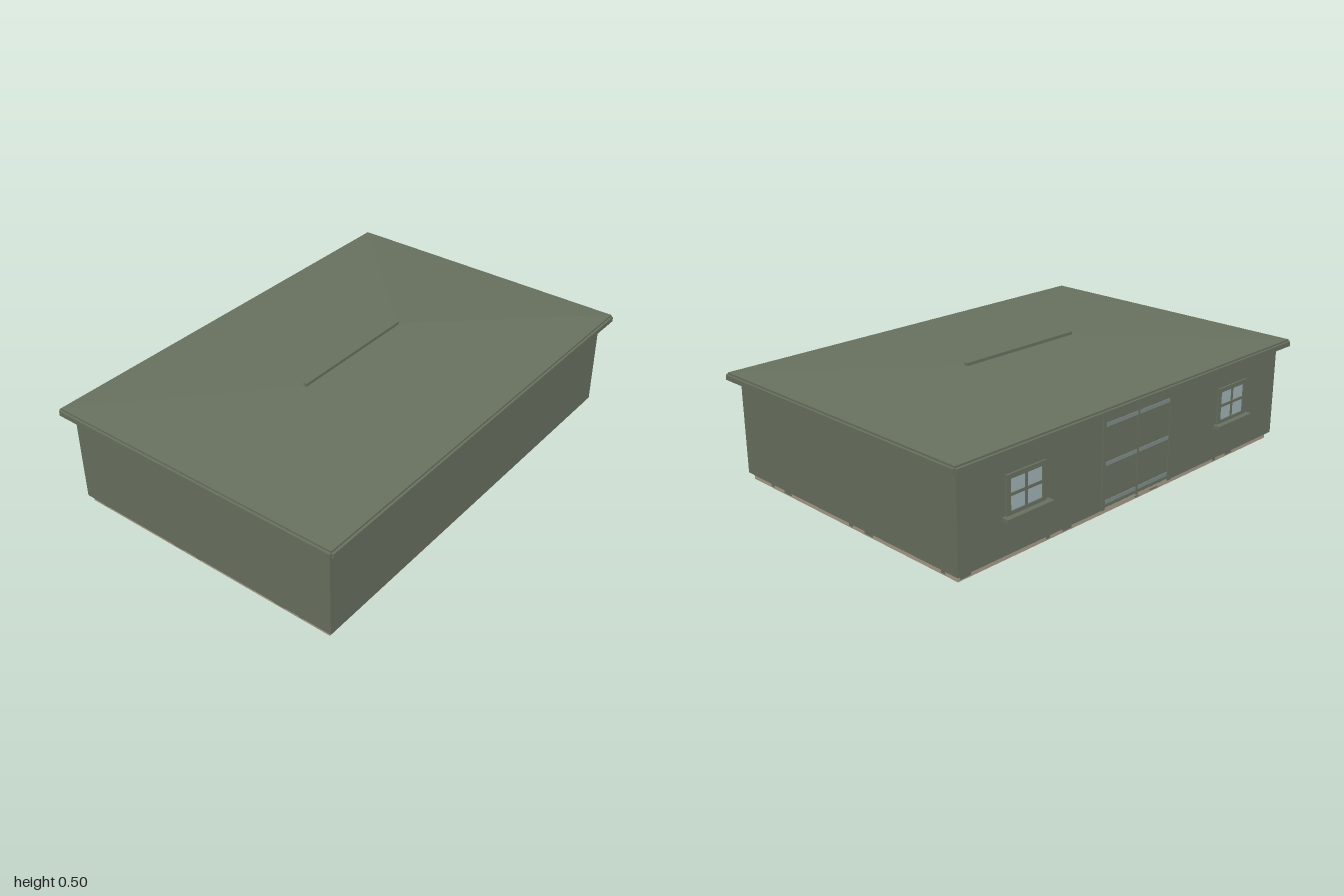
import * as THREE from 'three';

const mat = (name, color, extra = {}) => {
  const m = new THREE.MeshStandardMaterial({ color, ...extra });
  m.name = name;
  return m;
};

export function createModel() {
  const green = mat('olive green', 0x68715f);
  const stone = mat('foundation stone', 0xa69b89);
  const glass = mat('window glass', 0xa0b2b6);
  const steel = mat('door rail grey', 0x7f8c8a);
  const house = new THREE.Group();
  house.name = 'building';

  // box given by its min and max corners
  const box = (name, m, x0, x1, y0, y1, z0, z1, parent = house) => {
    const mesh = new THREE.Mesh(new THREE.BoxGeometry(x1 - x0, y1 - y0, z1 - z0), m);
    mesh.position.set((x0 + x1) / 2, (y0 + y1) / 2, (z0 + z1) / 2);
    mesh.name = name;
    parent.add(mesh);
    return mesh;
  };

  // foundation and walls
  box('foundation', stone, -0.94, 0.94, 0, 0.03, -0.625, 0.625);
  box('walls', green, -0.955, 0.955, 0.028, 0.45, -0.642, 0.642);

  // mossy patches round the foundation
  const patches = [[-0.68, -0.63], [-0.56, -0.54], [-0.16, -0.11], [-0.04, -0.015], [0.36, 0.41], [0.48, 0.5], [0.88, 0.93]];
  for (const s of [-1, 1]) {
    const span = (d) => [s * d, s * (d + 0.001)].sort((a, b) => a - b);
    for (const [a, b] of patches) {
      box('foundationPatch', green, a, b, 0.006, 0.028, ...span(0.625));
      if (Math.abs(a) < 0.6) box('foundationPatch', green, ...span(0.94), 0.006, 0.028, a, b);
    }
  }

  // roof slab with fascia boards on the four sides
  box('roofSlab', green, -0.99, 0.99, 0.445, 0.466, -0.678, 0.678);
  for (const s of [-1, 1]) {
    const zs = [s * 0.676, s * 0.688].sort((a, b) => a - b);
    const xs = [s * 0.988, s * 1].sort((a, b) => a - b);
    box('longFascia', green, -0.99, 0.99, 0.437, 0.458, ...zs);
    box('endFascia', green, ...xs, 0.437, 0.458, -0.678, 0.678);
  }

  // low hipped roof: eave corners rising to a short ridge
  const A = [-0.99, 0.466, 0.678], B = [0.99, 0.466, 0.678];
  const C = [0.99, 0.466, -0.678], D = [-0.99, 0.466, -0.678];
  const L = [-0.31, 0.492, 0], R = [0.31, 0.492, 0];
  const tris = [A, B, R, A, R, L, B, C, R, C, D, L, C, L, R, D, A, L];
  const roofGeo = new THREE.BufferGeometry();
  roofGeo.setAttribute('position', new THREE.Float32BufferAttribute(tris.flat(), 3));
  roofGeo.computeVertexNormals();
  const roof = new THREE.Mesh(roofGeo, green);
  roof.name = 'hippedRoof';
  house.add(roof);
  box('ridgeCap', green, -0.312, 0.312, 0.488, 0.505, -0.008, 0.008);

  // rear windows: four panes, frame, glazing bars and sill
  for (const side of [-1, 1]) {
    const win = new THREE.Group();
    win.name = side > 0 ? 'leftRearWindow' : 'rightRearWindow';
    win.position.x = side * 0.625;
    house.add(win);
    box('glass', glass, -0.085, 0.085, 0.19, 0.33, -0.645, -0.641, win);
    for (const s of [-1, 1]) {
      box('frameSide', green, s * 0.09 - 0.01, s * 0.09 + 0.01, 0.185, 0.342, -0.65, -0.641, win);
    }
    box('frameTop', green, -0.1, 0.1, 0.323, 0.342, -0.65, -0.641, win);
    box('frameBottom', green, -0.1, 0.1, 0.183, 0.198, -0.65, -0.641, win);
    box('glazingBarUpright', green, -0.006, 0.006, 0.19, 0.33, -0.648, -0.641, win);
    box('glazingBarCross', green, -0.085, 0.085, 0.255, 0.267, -0.648, -0.641, win);
    box('sill', green, -0.118, 0.118, 0.167, 0.184, -0.673, -0.641, win);
  }

  // rear double door: leaves, frame and rails
  const door = new THREE.Group();
  door.name = 'rearDoubleDoor';
  house.add(door);
  for (const s of [-1, 1]) {
    box('doorLeaf', green, s * 0.099 - 0.097, s * 0.099 + 0.097, 0.03, 0.4, -0.644, -0.641, door);
    box('doorPost', green, s * 0.204 - 0.009, s * 0.204 + 0.009, 0.03, 0.414, -0.648, -0.641, door);
    for (const y of [0.06, 0.22, 0.38]) {
      box('doorRail', steel, s * 0.099 - 0.092, s * 0.099 + 0.092, y - 0.008, y + 0.008, -0.6465, -0.641, door);
    }
  }
  box('doorLintel', green, -0.213, 0.213, 0.398, 0.414, -0.648, -0.641, door);
  box('doorMeetingStrip', green, -0.005, 0.005, 0.03, 0.4, -0.647, -0.641, door);
  box('threshold', stone, -0.195, 0.195, 0.026, 0.036, -0.645, -0.62, door);

  return house;
}
